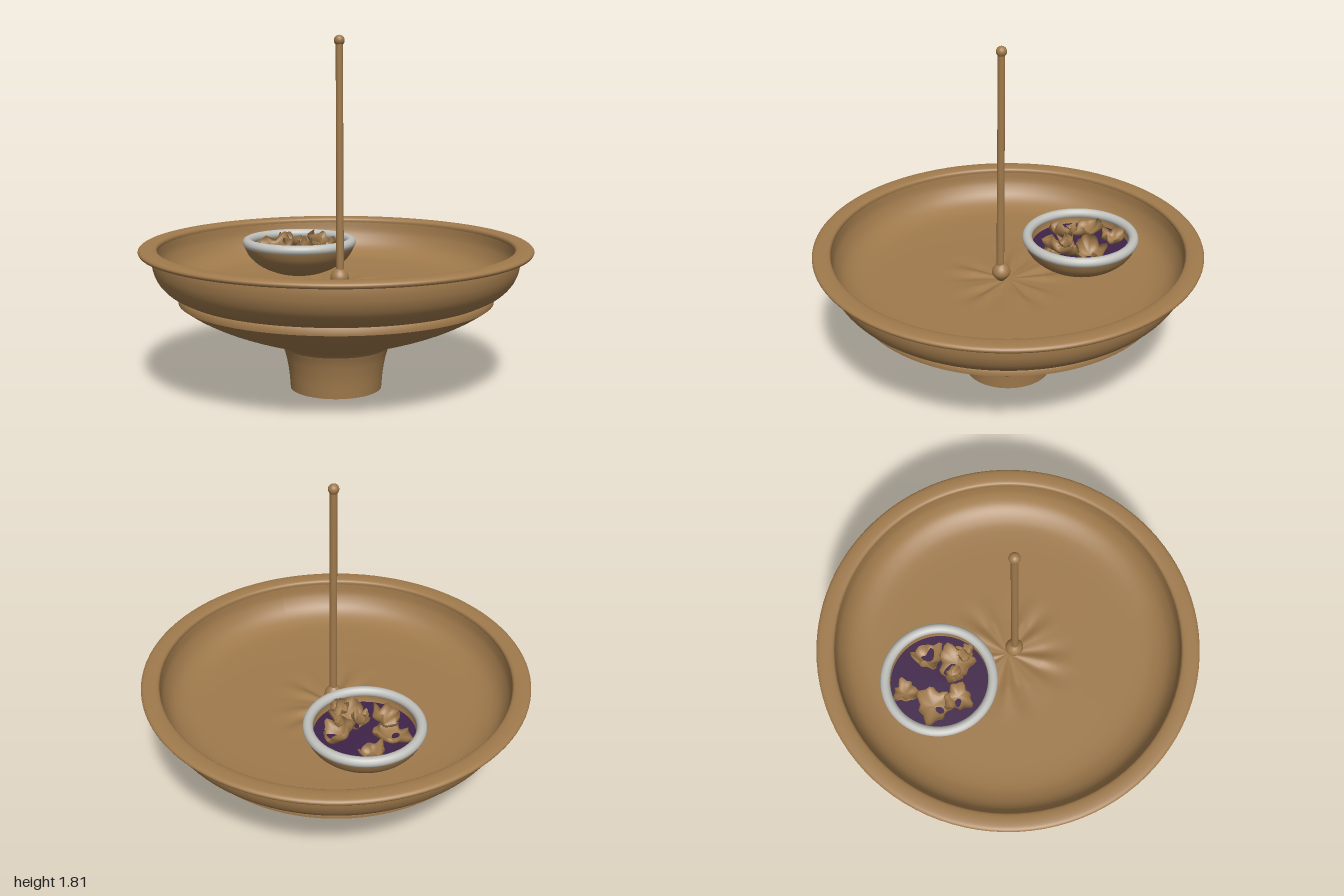
import * as THREE from 'three';

const clay = new THREE.MeshStandardMaterial({ color: 0xa07a4c });
clay.name = 'clay brown';
const clayThin = clay.clone();
clayThin.name = 'clay brown thin';
clayThin.side = THREE.DoubleSide;
const trim = new THREE.MeshStandardMaterial({ color: 0xc0c0bc });
trim.name = 'pale grey';
const plugGrey = new THREE.MeshStandardMaterial({ color: 0xa2a2a0 });
plugGrey.name = 'mid grey';
const wine = new THREE.MeshStandardMaterial({ color: 0x3f2349 });
wine.name = 'dark purple';

function add(parent, name, geometry, material, x = 0, y = 0, z = 0) {
  const mesh = new THREE.Mesh(geometry, material);
  mesh.name = name;
  mesh.position.set(x, y, z);
  parent.add(mesh);
  return mesh;
}

// Surface of revolution through a few [radius, height] points
function turned(points, smooth = 20, segments = 96) {
  let pts = points.map(([r, y]) => new THREE.Vector2(r, y));
  if (smooth) pts = new THREE.SplineCurve(pts).getPoints(smooth);
  pts.forEach((p) => { p.x = Math.max(p.x, 0); });
  return new THREE.LatheGeometry(pts, segments);
}

// Moves each vertex by a rule, then refreshes the normals
function reshape(geometry, rule) {
  const pos = geometry.attributes.position;
  const v = new THREE.Vector3();
  for (let i = 0; i < pos.count; i++) {
    v.fromBufferAttribute(pos, i);
    rule(v);
    pos.setXYZ(i, v.x, v.y, v.z);
  }
  geometry.computeVertexNormals();
  return geometry;
}

// Crumpled open cup with a ragged edge
function crumpledCup(radius, height, seed) {
  const cup = new THREE.SphereGeometry(1, 30, 8, 0, Math.PI * 2, Math.PI * 0.45, Math.PI * 0.55);
  return reshape(cup, (v) => {
    const a = Math.atan2(v.z, v.x);
    const edge = THREE.MathUtils.clamp(v.y + 1, 0, 1.2);
    const wave = 1 + edge * (0.16 * Math.sin(3 * a + seed) + 0.12 * Math.sin(7 * a + seed * 2.3));
    v.x *= radius * wave;
    v.z *= radius * wave;
    v.y = height * edge * (0.85 + 0.25 * Math.sin(5 * a + seed * 1.7));
  });
}

function createBasin() {
  const basin = new THREE.Group();
  basin.name = 'basin';
  add(basin, 'footRing', turned([[0.19, 0.02], [0.195, 0], [0.235, 0]], 0), clay);
  add(basin, 'footPlug', turned([[0, 0.004], [0.015, 0.012], [0.12, 0.014], [0.2, 0.014]], 0, 64), plugGrey);
  add(basin, 'foot', turned([[0.235, 0], [0.243, 0.09], [0.258, 0.17], [0.274, 0.22]]), clay);
  add(basin, 'lowerBowl', turned([[0.274, 0.22], [0.3, 0.242], [0.38, 0.272], [0.51, 0.317],
    [0.63, 0.366], [0.73, 0.418], [0.805, 0.468]], 30), clay);
  add(basin, 'ledge', turned([[0.805, 0.468], [0.807, 0.493], [0.795, 0.505]], 0), clay);
  add(basin, 'upperBand', turned([[0.795, 0.503], [0.855, 0.535], [0.9, 0.58], [0.925, 0.63],
    [0.934, 0.68], [0.932, 0.722]], 24), clay);
  add(basin, 'rim', turned([[0.93, 0.72], [0.985, 0.72], [0.999, 0.728], [1, 0.74], [0.985, 0.75],
    [0.95, 0.753], [0.918, 0.749], [0.907, 0.738], [0.907, 0.722]], 40), clay);

  // Inner wall and floor, with soft folds around the rod
  const inside = turned([[0.907, 0.725], [0.895, 0.66], [0.855, 0.595], [0.79, 0.555], [0.7, 0.538],
    [0.5, 0.532], [0.25, 0.53], [0.12, 0.53], [0, 0.53]], 60, 128);
  reshape(inside, (v) => {
    const r = Math.hypot(v.x, v.z);
    const a = Math.atan2(v.z, v.x);
    const fade = Math.max(0, 1 - Math.abs(r - 0.19) / 0.17);
    v.y += 0.007 * fade * (Math.sin(9 * a) + 0.5 * Math.sin(14 * a + 1));
  });
  add(basin, 'innerBasin', inside, clay);
  return basin;
}

function createRod() {
  const rod = new THREE.Group();
  rod.name = 'rod';
  const shaft = add(rod, 'shaft', new THREE.CylinderGeometry(0.018, 0.02, 1.21, 20), clay, 0, 1.175, 0);
  shaft.rotation.x = -0.008;
  add(rod, 'topKnob', new THREE.SphereGeometry(0.027, 24, 16), clay, 0, 1.779, -0.005);
  add(rod, 'bottomKnob', turned([[0, 0.52], [0.018, 0.535], [0.042, 0.562], [0.048, 0.585],
    [0.038, 0.61], [0.018, 0.63]], 20, 32), clay);
  rod.position.z = 0.038;
  return rod;
}

function createCup() {
  const cup = new THREE.Group();
  cup.name = 'smallBowl';
  add(cup, 'bowlShell', turned([[0, 0.522], [0.1, 0.53], [0.2, 0.568], [0.265, 0.62], [0.296, 0.675],
    [0.298, 0.7]], 24, 64), clay);
  add(cup, 'bowlInside', turned([[0.262, 0.7], [0.262, 0.67], [0.252, 0.635]], 8, 64), clay);
  const ring = new THREE.TorusGeometry(0.281, 0.026, 14, 72);
  ring.rotateX(Math.PI / 2);
  add(cup, 'bowlRim', ring, trim, 0, 0.7, 0);
  const surface = new THREE.CircleGeometry(0.258, 64);
  surface.rotateX(-Math.PI / 2);
  add(cup, 'liquid', surface, wine, 0, 0.65, 0);

  // Crumpled blossoms: x, z, radius, height, tilt x, tilt z
  const blossoms = [
    [0.025, -0.19, 0.06, 0.05, 0.2, -0.1],
    [-0.1, -0.09, 0.09, 0.05, 0.1, 0.2],
    [0.12, 0.0, 0.075, 0.07, 0.2, -0.4],
    [-0.12, 0.05, 0.07, 0.06, -0.2, 0.3],
    [0.045, 0.13, 0.09, 0.06, -0.3, 0.1],
    [0.06, 0.2, 0.045, 0.05, -0.3, -0.2],
    [0.0, 0.07, 0.04, 0.06, 0.3, 0.2],
  ];
  blossoms.forEach(([x, z, r, h, tx, tz], i) => {
    const b = add(cup, 'blossom' + (i + 1), crumpledCup(r, h, i * 1.9 + 0.5), clayThin, x, 0.653, z);
    b.rotation.set(tx, 0, tz);
  });
  cup.position.z = -0.41;
  return cup;
}

export function createModel() {
  const model = new THREE.Group();
  model.name = 'basinWithRodAndBowl';
  model.add(createBasin(), createRod(), createCup());
  return model;
}
